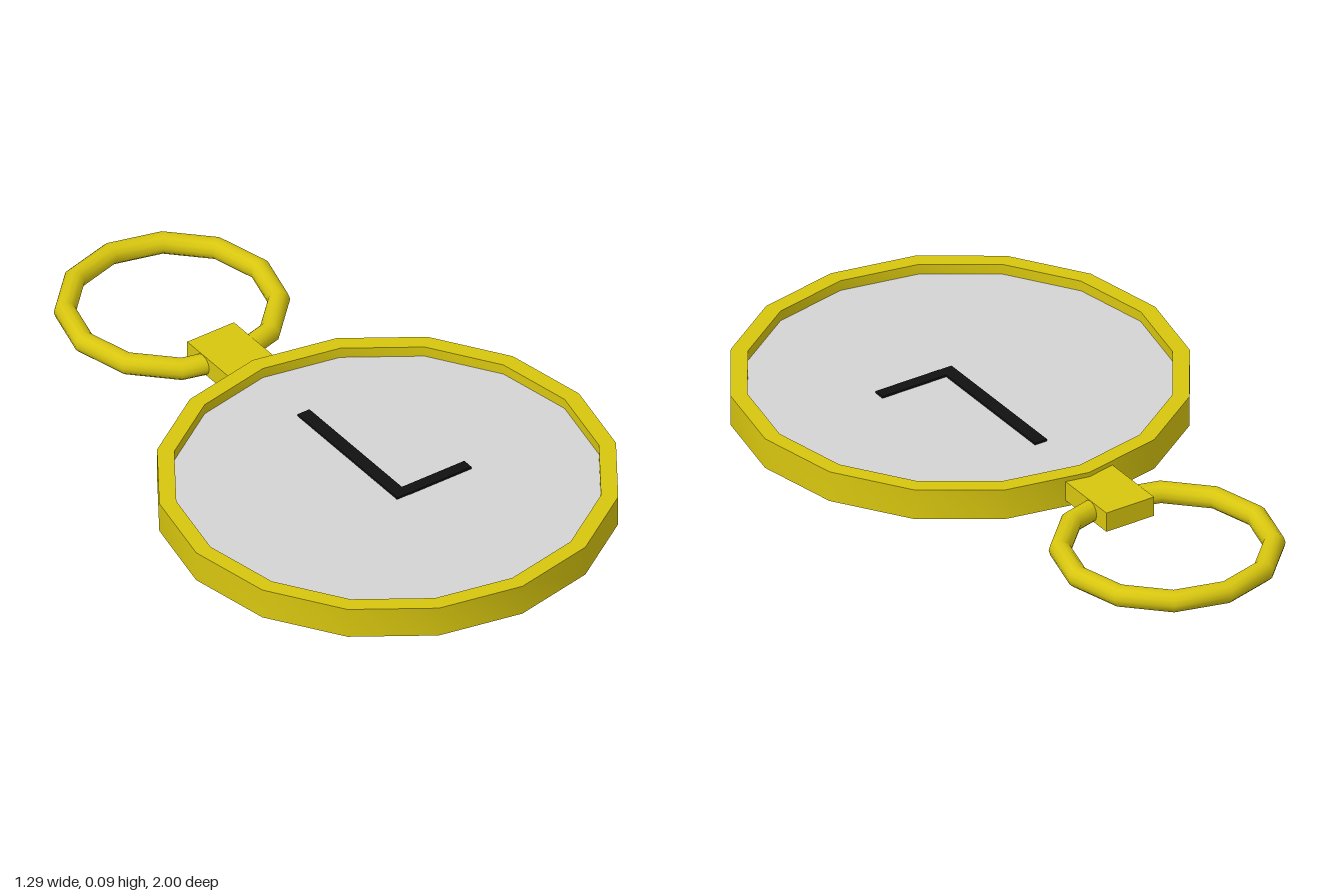
import * as THREE from 'three';
import { toCreasedNormals } from 'three/addons/utils/BufferGeometryUtils.js';

const gold = new THREE.MeshStandardMaterial({ color: 0xd8c60f });
gold.name = 'gold';
const dialGrey = new THREE.MeshStandardMaterial({ color: 0xd4d4d4 });
dialGrey.name = 'dial grey';
const black = new THREE.MeshStandardMaterial({ color: 0x111111 });
black.name = 'hand black';

const SIDES = 16, CASE_Z = 0.355, DIAL_Y = 0.062;

export function createModel() {
  const model = new THREE.Group();
  model.name = 'pocketWatch';

  const add = (name, geometry, material, x, y, z) => {
    const mesh = new THREE.Mesh(geometry, material);
    mesh.name = name;
    mesh.position.set(x, y, z);
    model.add(mesh);
    return mesh;
  };

  // Case: closed back, outer wall, flat rim and inner wall down to the dial
  const profile = [[0, 0], [0.643, 0], [0.643, 0.093], [0.595, 0.093], [0.595, DIAL_Y - 0.01]]
    .map(([r, y]) => new THREE.Vector2(r, y));
  const caseGeometry = toCreasedNormals(new THREE.LatheGeometry(profile, SIDES), Math.PI / 5);
  add('case', caseGeometry, gold, 0, 0, CASE_Z);

  // Recessed dial
  add('dial', new THREE.CylinderGeometry(0.596, 0.596, 0.008, SIDES), dialGrey, 0, DIAL_Y - 0.004, CASE_Z);

  // Hands, thin plates on the dial
  add('minuteHand', new THREE.BoxGeometry(0.04, 0.006, 0.475), black, -0.005, DIAL_Y + 0.003, 0.198);
  add('hourHand', new THREE.BoxGeometry(0.21, 0.006, 0.035), black, 0.12, DIAL_Y + 0.003, 0.419);

  // Stem block joining case and ring
  add('stem', new THREE.BoxGeometry(0.157, 0.06, 0.22), gold, -0.009, 0.049, -0.367);

  // Twelve-sided carrying ring lying flat
  const ring = new THREE.TorusGeometry(0.295, 0.031, 12, 12).rotateX(Math.PI / 2);
  add('ring', ring, gold, 0, 0.047, -0.674);

  return model;
}
